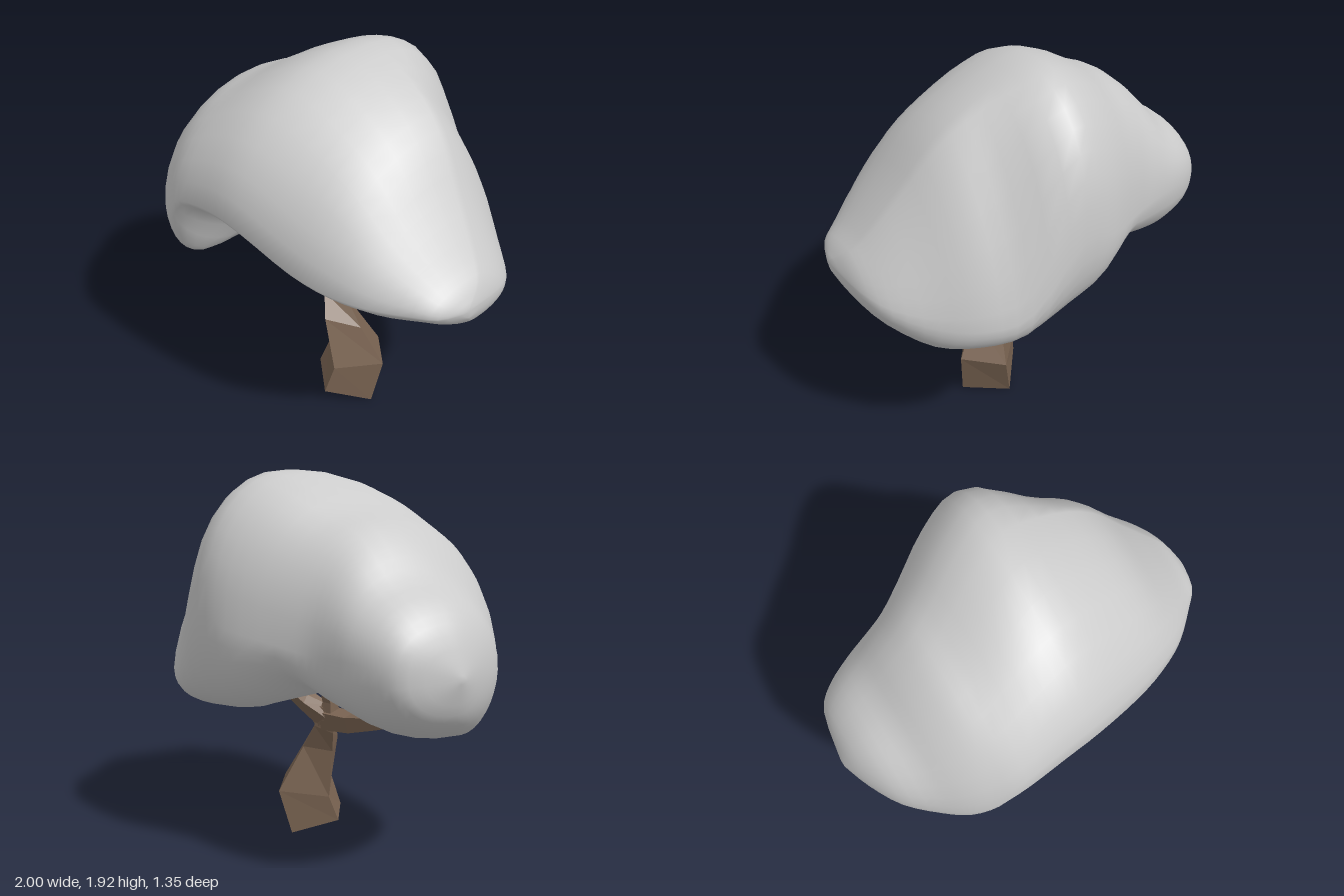
import * as THREE from 'three';

// Skin a list of equal-length closed rings, closing both ends with a fan.
function loft(rings) {
  const n = rings[0].length;
  const pos = rings.flat().flatMap((p) => [p.x, p.y, p.z]);
  const index = [];
  for (let i = 0; i < rings.length - 1; i++) {
    for (let j = 0; j < n; j++) {
      const k = (j + 1) % n;
      const a = i * n + j, b = a + n, c = (i + 1) * n + k, d = i * n + k;
      index.push(a, b, c, a, c, d);
    }
  }
  [0, rings.length - 1].forEach((r, end) => {
    const mid = new THREE.Vector3();
    rings[r].forEach((p) => mid.addScaledVector(p, 1 / n));
    const m = pos.length / 3;
    pos.push(mid.x, mid.y, mid.z);
    for (let j = 0; j < n; j++) {
      const a = r * n + j, b = r * n + (j + 1) % n;
      if (end) index.push(m, b, a);
      else index.push(m, a, b);
    }
  });
  const geo = new THREE.BufferGeometry();
  geo.setAttribute('position', new THREE.Float32BufferAttribute(pos, 3));
  geo.setIndex(index);
  geo.computeVertexNormals();
  return geo;
}

// Slices across the crown:
// x, top y/z, front z/y, bottom y/z, back z/y
const SLICES = [
  [-1, 1.07, 0.06, 0.08, 1.05, 1.03, 0.06, 0.04, 1.05],
  [-0.95, 1.24, 0.03, 0.22, 1.05, 0.88, 0.08, -0.19, 1.08],
  [-0.86, 1.36, 0.05, 0.38, 1.03, 0.78, 0.15, -0.28, 1.1],
  [-0.72, 1.46, 0.05, 0.51, 1.0, 0.7, 0.3, -0.34, 1.12],
  [-0.6, 1.59, 0.05, 0.6, 1.03, 0.69, 0.4, -0.37, 1.12],
  [-0.48, 1.69, 0.05, 0.65, 1.1, 0.75, 0.36, -0.41, 1.12],
  [-0.34, 1.755, 0, 0.675, 1.22, 0.89, 0, -0.49, 1.15],
  [-0.12, 1.88, -0.1, 0.665, 1.27, 0.82, -0.3, -0.62, 1.2],
  [0.08, 1.92, -0.18, 0.645, 1.25, 0.75, -0.35, -0.67, 1.25],
  [0.35, 1.81, -0.18, 0.59, 1.15, 0.71, -0.35, -0.66, 0.95],
  [0.55, 1.66, -0.15, 0.53, 1.1, 0.715, -0.35, -0.6, 0.9],
  [0.72, 1.43, -0.1, 0.45, 1.08, 0.73, -0.3, -0.48, 0.9],
  [0.88, 1.22, -0.05, 0.32, 1.06, 0.83, -0.15, -0.33, 0.95],
  [0.96, 1.13, 0, 0.24, 1.05, 0.92, 0, -0.17, 1.0],
  [1, 1.06, 0.08, 0.12, 1.04, 1.0, 0.08, 0.04, 1.04],
];

// One crown ring: four curved quarters between front, top, back and bottom.
function crownRing([x, yT, zT, zF, yF, yB, zB, zK, yK]) {
  const arch = THREE.MathUtils.smoothstep(x, -0.5, -0.3);
  const ledge = THREE.MathUtils.smoothstep(x, 0.1, 0.45);
  const quarters = [
    [zF, yF, zT, yT, 1, false],
    [zK, yK, zT, yT, 0.88 + 0.5 * ledge, true],
    [zK, yK, zB, yB, 0.9, false],
    [zF, yF, zB, yB, 1 + 0.5 * arch, true],
  ];
  const ring = [], steps = 8;
  for (const [zs, ys, ze, ye, power, flip] of quarters) {
    for (let k = 0; k < steps; k++) {
      const a = ((flip ? steps - k : k) / steps) * Math.PI / 2;
      const c = Math.max(0, Math.cos(a)) ** power, s = Math.sin(a) ** power;
      ring.push(new THREE.Vector3(x, ys + (ye - ys) * s, ze + (zs - ze) * c));
    }
  }
  return ring;
}

function crownGeometry() {
  const rings = [], sub = 3, last = SLICES.length - 1;
  const at = (i) => SLICES[THREE.MathUtils.clamp(i, 0, last)];
  for (let s = 0; s <= last * sub; s++) {
    const i = Math.floor(s / sub), t = (s % sub) / sub;
    rings.push(crownRing(at(i).map((b, c) => {
      const a = at(i - 1)[c], d = at(i + 1)[c], e = at(i + 2)[c];
      return b + 0.5 * t * (d - a + t * (2 * a - 5 * b + 4 * d - e + t * (3 * (b - d) + e - a)));
    })));
  }
  return loft(rings);
}

// Four-sided tapering limb through points [x, y, z, radius].
function limbGeometry(points) {
  const v = points.map((p) => new THREE.Vector3(p[0], p[1], p[2]));
  const rings = v.map((p, i) => {
    const t = v[Math.min(i + 1, v.length - 1)].clone().sub(v[Math.max(i - 1, 0)]).normalize();
    const u = new THREE.Vector3(0.3, 0.2, 1).cross(t).normalize();
    const w = u.clone().cross(t);
    return [0, 1, 2, 3].map((k) => {
      const a = Math.PI / 4 + k * Math.PI / 2, r = points[i][3];
      return p.clone().addScaledVector(u, Math.cos(a) * r).addScaledVector(w, Math.sin(a) * r);
    });
  });
  return loft(rings);
}

// Trunk rings, corners in order front, left side, back, right side.
const TRUNK = [
  [[0.21, 0.08, 0.23], [0, 0.08, 0.08], [0.15, 0, -0.12], [0.36, 0, 0.03]],
  [[0.24, 0.24, 0.19], [0.03, 0.21, 0.04], [0.2, 0.23, -0.17], [0.39, 0.25, -0.02]],
  [[0.14, 0.5, 0.165], [0.03, 0.46, 0.06], [0.16, 0.47, -0.04], [0.27, 0.45, 0.03]],
  [[0.06, 0.6, 0.1], [-0.01, 0.57, 0.04], [0.08, 0.6, -0.02], [0.14, 0.6, 0.03]],
  [[0.04, 0.7, 0.09], [-0.02, 0.68, 0.04], [0.06, 0.72, -0.02], [0.12, 0.7, 0.03]],
];

const BRANCHES = {
  rightLimb: [[0.06, 0.64, 0.04, 0.07], [-0.12, 0.65, 0.08, 0.06], [-0.3, 0.69, 0.12, 0.045], [-0.48, 0.74, 0.17, 0.032], [-0.55, 0.82, 0.19, 0.02]],
  rightOuterFork: [[-0.22, 0.67, 0.1, 0.045], [-0.34, 0.79, 0.13, 0.035], [-0.43, 0.93, 0.15, 0.025]],
  rightInnerFork: [[-0.18, 0.66, 0.1, 0.045], [-0.21, 0.76, 0.15, 0.038], [-0.2, 0.83, 0.17, 0.034], [-0.27, 0.95, 0.19, 0.022]],
  middleFork: [[0.03, 0.64, 0.04, 0.06], [0.02, 0.74, 0.04, 0.04], [0.02, 0.85, 0, 0.025]],
  leftLimb: [[0.05, 0.64, 0.04, 0.07], [0.14, 0.72, -0.01, 0.05], [0.28, 0.83, -0.07, 0.035], [0.52, 0.82, -0.03, 0.014]],
  leftFork: [[0.24, 0.79, -0.05, 0.03], [0.27, 0.88, -0.02, 0.02]],
  backLimb: [[0.06, 0.66, 0.02, 0.06], [0.1, 0.74, -0.08, 0.04], [0.14, 0.86, -0.2, 0.025]],
};

export function createModel() {
  const model = new THREE.Group();
  model.name = 'tree';
  const leaf = new THREE.MeshStandardMaterial({ color: 0xcccccc });
  const bark = new THREE.MeshStandardMaterial({ color: 0x7a6452, flatShading: true });
  const add = (name, geometry, material) => {
    const mesh = new THREE.Mesh(geometry, material);
    mesh.name = name;
    model.add(mesh);
  };
  add('crown', crownGeometry(), leaf);
  add('trunk', loft(TRUNK.map((r) => r.map((p) => new THREE.Vector3(...p)))), bark);
  for (const [name, points] of Object.entries(BRANCHES)) add(name, limbGeometry(points), bark);
  return model;
}
